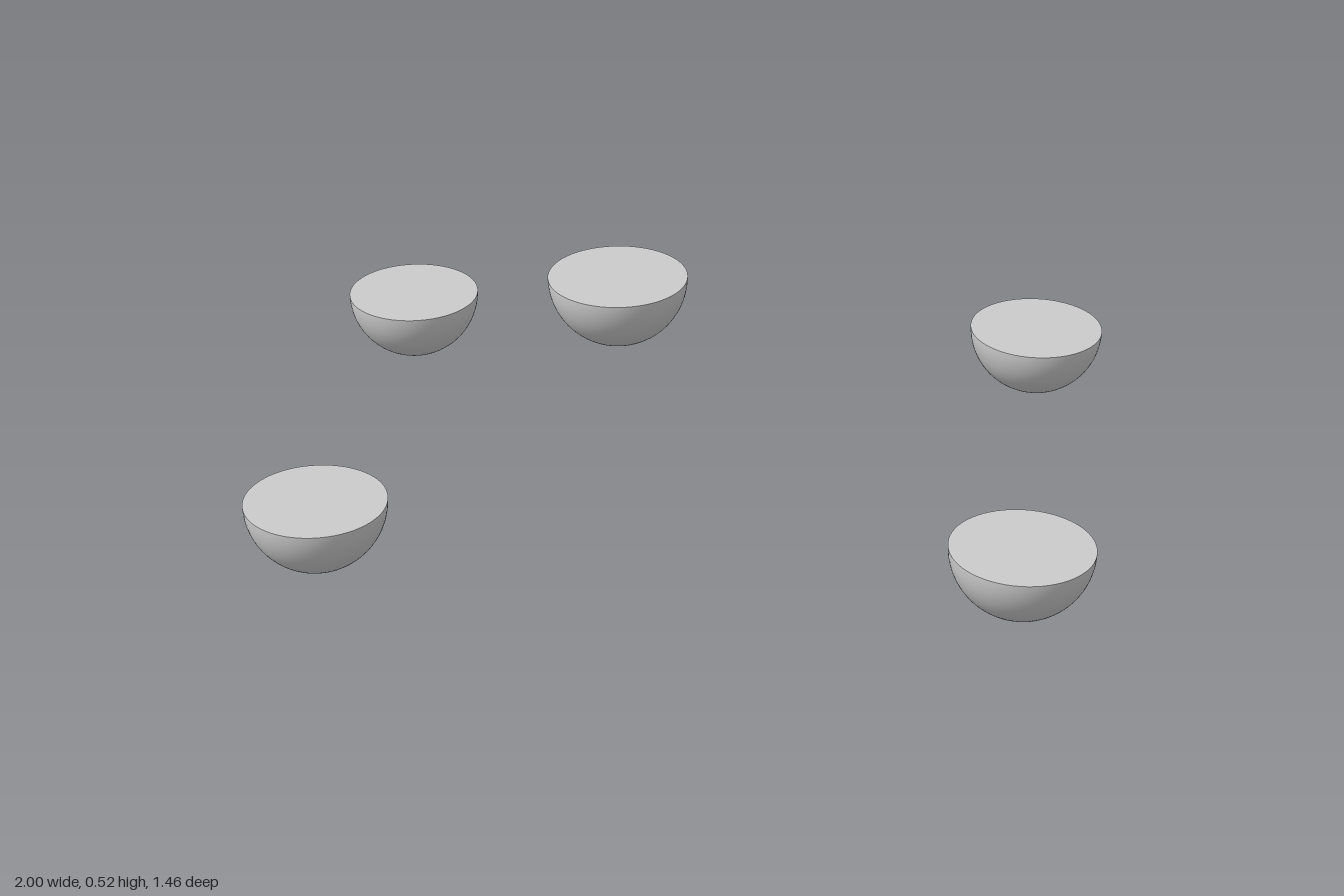
import * as THREE from 'three';

const R = 0.171;

export function createModel() {
  const model = new THREE.Group();
  const material = new THREE.MeshStandardMaterial({ color: 0xcccccc });
  const bowlGeometry = new THREE.SphereGeometry(R, 64, 24, 0, Math.PI * 2, Math.PI / 2, Math.PI / 2);
  const capGeometry = new THREE.CircleGeometry(R, 64).rotateX(-Math.PI / 2);

  // Solid hemisphere, flat side up, placed by the centre of its flat top
  function addHemisphere(name, x, y, z) {
    const group = new THREE.Group();
    group.name = name;
    const dome = new THREE.Mesh(bowlGeometry, material);
    dome.name = 'roundUnderside';
    const cap = new THREE.Mesh(capGeometry, material);
    cap.name = 'flatTop';
    group.add(dome, cap);
    group.position.set(x, y, z);
    model.add(group);
  }

  // Four corner feet
  for (const [side, sx] of [['Left', 1], ['Right', -1]]) {
    for (const [end, sz] of [['front', 1], ['back', -1]]) {
      addHemisphere(`${end}${side}Foot`, sx * 0.829, R, sz * 0.558);
    }
  }

  // Raised hemisphere near the middle
  addHemisphere('raisedHemisphere', -0.19, 0.525, -0.007);

  return model;
}
